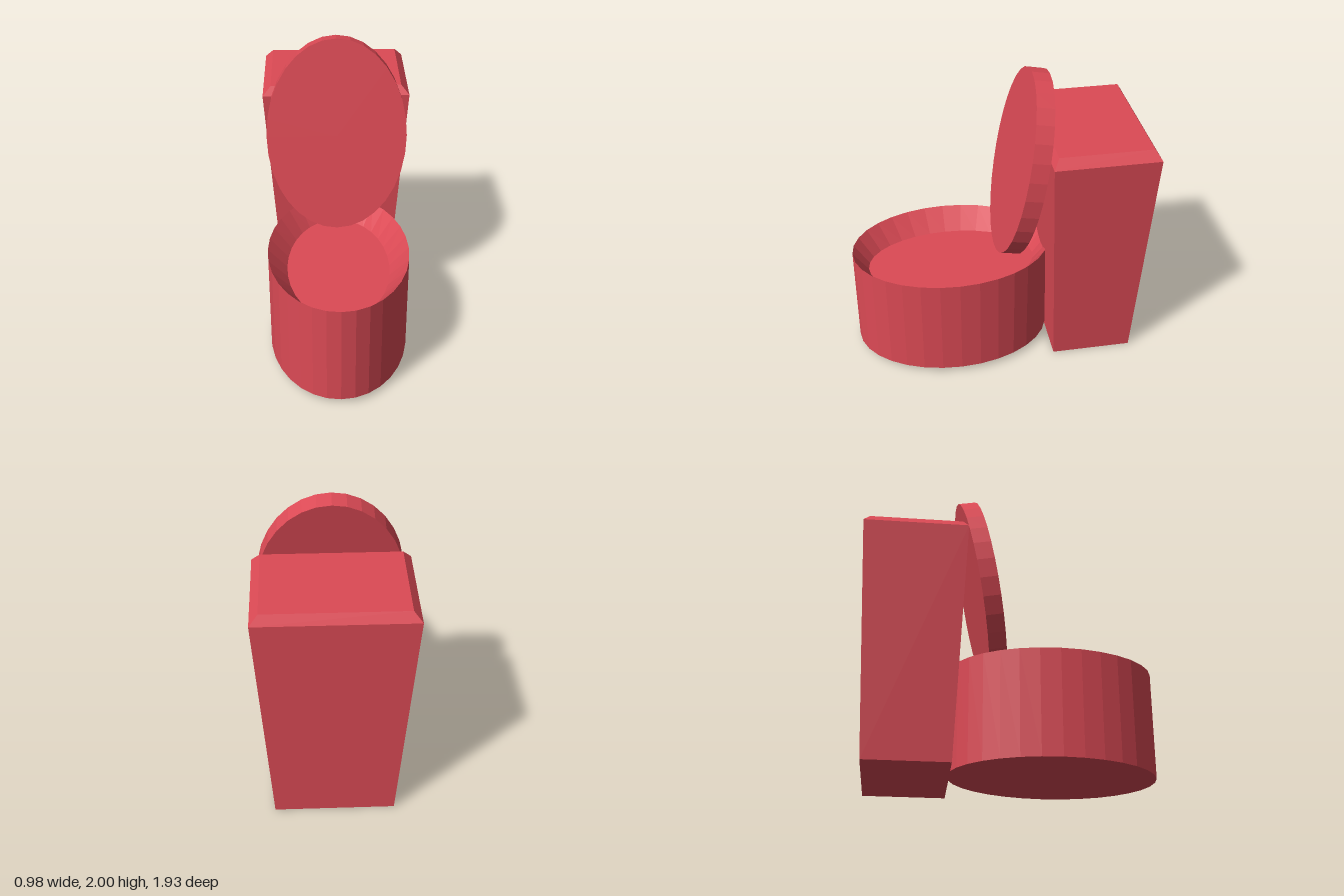
import * as THREE from 'three';

const material = new THREE.MeshStandardMaterial({ color: 0xdc4a55, flatShading: true });

function addPart(group, name, geometry) {
  geometry.computeVertexNormals();
  const mesh = new THREE.Mesh(geometry, material);
  mesh.name = name;
  group.add(mesh);
  return mesh;
}

// Moves every vertex of a geometry by a rule
function reshape(geometry, rule) {
  const pos = geometry.attributes.position;
  const v = new THREE.Vector3();
  for (let i = 0; i < pos.count; i++) {
    rule(v.fromBufferAttribute(pos, i));
    pos.setXYZ(i, v.x, v.y, v.z);
  }
  return geometry;
}

// Oval bowl with a sloped rim and a sunken floor
function bowlGeometry() {
  const inner = 0.731;
  const profile = [[0, 0.035], [1, 0.035], [1, 0.74], [inner, 0.6], [0, 0.6]]
    .map(([r, y]) => new THREE.Vector2(r, y));
  return reshape(new THREE.LatheGeometry(profile, 32), (v) => {
    const onRim = Math.hypot(v.x, v.z) > 0.9;
    v.x *= 0.465;
    v.z = 0.3 + v.z * (onRim ? 0.668 : 0.567 / inner);
  });
}

// Tank widening upwards, with a bevelled top
function tankGeometry() {
  const rings = [
    { y: 0, x: 0.39, z: 0.27 },
    { y: 1.57, x: 0.49, z: 0.34 },
    { y: 1.63, x: 0.436, z: 0.302 },
  ];
  return reshape(new THREE.BoxGeometry(2, 2, 2, 1, 2, 1), (v) => {
    const ring = rings[Math.round(v.y) + 1];
    v.set(v.x * ring.x, ring.y, v.z * ring.z - 0.626);
  });
}

export function createModel() {
  const model = new THREE.Group();
  model.name = 'toilet';

  addPart(model, 'bowl', bowlGeometry());
  addPart(model, 'tank', tankGeometry());

  // Raised oval lid leaning back towards the tank
  const lid = addPart(model, 'lid',
    new THREE.CylinderGeometry(1, 1, 0.117, 32).scale(0.465, 1, 0.655));
  lid.rotation.x = THREE.MathUtils.degToRad(79.4);
  lid.position.set(0, 1.345, -0.173);

  return model;
}
